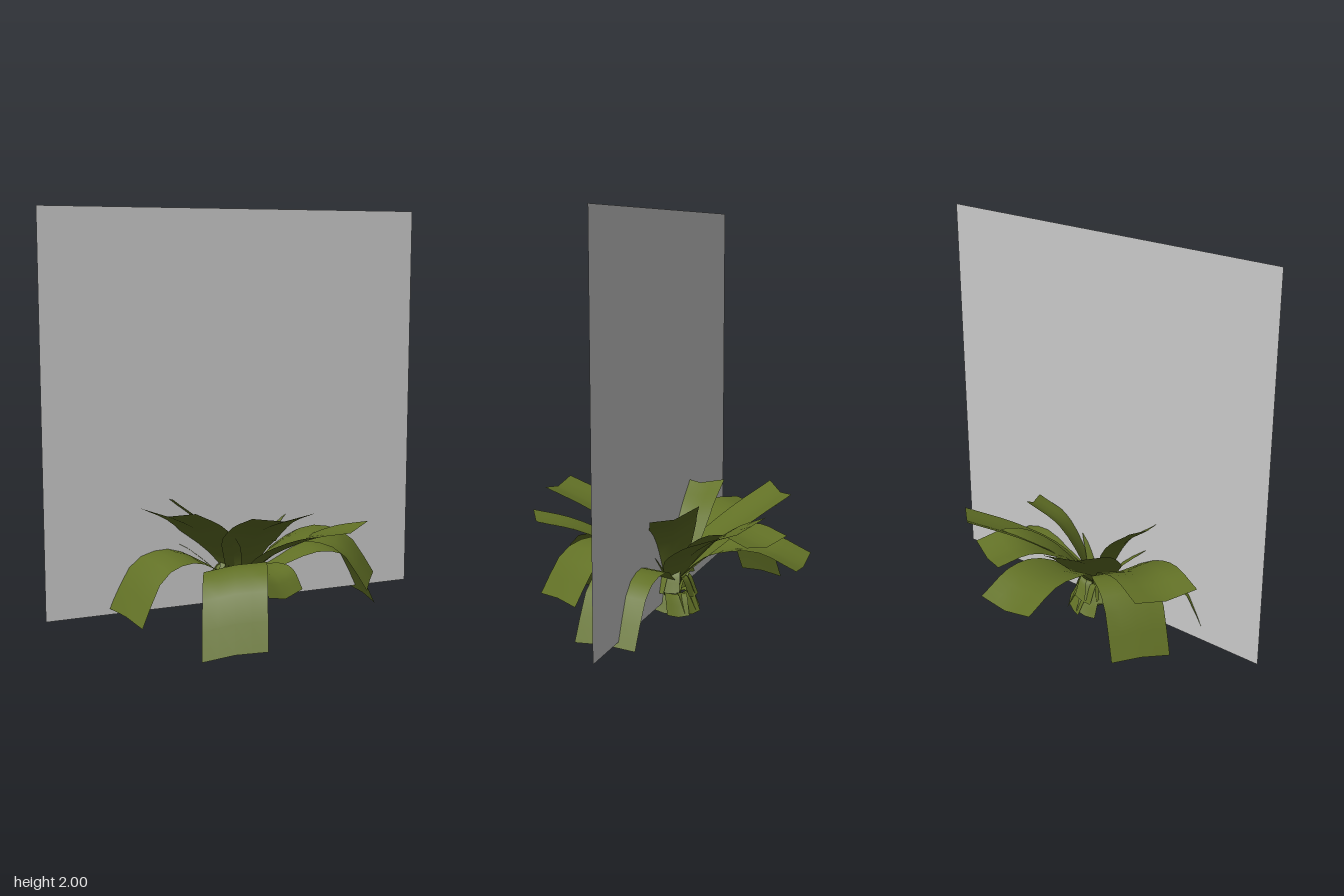
import * as THREE from 'three';

const green = new THREE.MeshStandardMaterial({ color: 0x627126, side: THREE.DoubleSide });
green.name = 'leaf green';
const grey = new THREE.MeshStandardMaterial({ color: 0xcacaca, side: THREE.DoubleSide });
grey.name = 'panel grey';

// A strap leaf: from the crown along an arched path to a tip edge between corners a and b.
// mids lists [fraction of reach, height]; fold sinks the midrib; root is the width at the crown.
function leaf(name, a, b, mids, { fold = 0.025, root = 0.3, base = 0.2 } = {}) {
  const A = new THREE.Vector3(...a), B = new THREE.Vector3(...b);
  const tip = A.clone().add(B).multiplyScalar(0.5);
  const half = B.clone().sub(A).multiplyScalar(0.5);
  const path = new THREE.CatmullRomCurve3([
    new THREE.Vector3(tip.x * 0.04, base, tip.z * 0.04),
    ...mids.map(([f, y]) => new THREE.Vector3(tip.x * f, y, tip.z * f)),
    tip,
  ]);
  const rows = 10, cols = 4, pos = [], index = [];
  for (let i = 0; i <= rows; i++) {
    const s = i / rows, p = path.getPoint(s);
    const w = Math.min(1, root + (1 - root) * s / 0.45);
    for (let j = 0; j <= cols; j++) {
      const u = (j / cols) * 2 - 1;
      pos.push(p.x + half.x * u * w, p.y + half.y * u * w - fold * w * (1 - Math.abs(u)), p.z + half.z * u * w);
      if (i < rows && j < cols) {
        const k = i * (cols + 1) + j, n = k + cols + 1;
        index.push(k, k + 1, n, k + 1, n + 1, n);
      }
    }
  }
  const g = new THREE.BufferGeometry();
  g.setAttribute('position', new THREE.Float32BufferAttribute(pos, 3));
  g.setIndex(index);
  g.computeVertexNormals();
  const mesh = new THREE.Mesh(g, green);
  mesh.name = name;
  return mesh;
}

export function createModel() {
  const model = new THREE.Group();

  // Upright square panel through the plant
  const panel = new THREE.Mesh(new THREE.PlaneGeometry(1.9, 1.9), grey);
  panel.name = 'panel';
  panel.position.set(0, 1.05, 0.015);
  model.add(panel);

  // Low outer leaves that arch over and hang down
  const droop = (peak) => [[0.3, peak - 0.06], [0.55, peak + 0.01], [0.8, peak - 0.03]];
  const drooping = [
    [[0.68, 0.07 + 0.0, -0.07], [0.655, 0.07, 0.23], droop(0.34)],
    [[0.645, 0.23, 0.23], [0.475, 0.22, 0.48], droop(0.44)],
    [[-0.11, 0.06, 0.665], [-0.375, 0.005, 0.54], droop(0.35)],
    [[-0.575, 0.11, 0.31], [-0.645, 0.13, 0.02], droop(0.37)],
    [[-0.6, 0.11, -0.2], [-0.45, 0.13, -0.45], droop(0.4)],
  ];
  for (const [a, b, mids] of drooping) model.add(leaf('droopingLeaf', a, b, mids, { fold: -0.01 }));

  // Middle leaves spreading nearly level
  const spreading = [
    [[-0.7, 0.48, -0.14], [-0.56, 0.48, -0.42], [[0.35, 0.4], [0.7, 0.5]]],
    [[-0.14, 0.36, -0.67], [0.17, 0.35, -0.67], [[0.35, 0.38], [0.7, 0.43]]],
    [[0.11, 0.5, -0.61], [0.38, 0.5, -0.49], [[0.35, 0.42], [0.7, 0.53]]],
    [[0.47, 0.56, 0.49], [0.205, 0.55, 0.645], [[0.35, 0.38], [0.7, 0.5]]],
  ];
  for (const [a, b, mids] of spreading) model.add(leaf('spreadingLeaf', a, b, mids));

  // Leaves that rise outward
  const rising = [
    [[0.14, 0.65, 0.61], [-0.165, 0.65, 0.61], [[0.25, 0.4], [0.55, 0.54]]],
    [[-0.36, 0.65, 0.43], [-0.54, 0.64, 0.19], [[0.25, 0.38], [0.6, 0.54]]],
    [[-0.39, 0.65, -0.4], [-0.14, 0.64, -0.57], [[0.25, 0.34], [0.6, 0.5]]],
    [[0.35, 0.64, -0.57], [0.58, 0.57, -0.37], [[0.25, 0.36], [0.6, 0.5]]],
  ];
  for (const [a, b, mids] of rising) model.add(leaf('risingLeaf', a, b, mids));

  // Short inner leaves
  const inner = [
    [[-0.35, 0.645, 0.085], [-0.33, 0.65, -0.175], [[0.5, 0.5]]],
    [[0.28, 0.65, -0.235], [0.38, 0.58, -0.03], [[0.5, 0.5]]],
    [[0.2, 0.44, 0.09], [0.1, 0.44, 0.22], [[0.5, 0.42]]],
    [[0.235, 0.2, 0.28], [0.025, 0.2, 0.36], [[0.4, 0.29], [0.8, 0.29]]],
    [[-0.07, 0.12, 0.2], [-0.2, 0.12, 0.12], [[0.4, 0.27], [0.8, 0.26]]],
  ];
  for (const [a, b, mids] of inner) model.add(leaf('innerLeaf', a, b, mids, { root: 0.6 }));

  // Dense tuft of tiny leaves at the crown
  for (let i = 0; i < 18; i++) {
    const t = i * 2.4, r = 0.1 + 0.012 * (i % 6), y = 0.06 + 0.035 * (i % 5), w = 0.055;
    const c = Math.cos(t), s = Math.sin(t);
    model.add(leaf('crownLeaf',
      [c * r + s * w, y, s * r - c * w], [c * r - s * w, y + 0.01, s * r + c * w],
      [[0.6, y + 0.1]], { fold: 0.01, root: 0.7, base: 0.06 + 0.02 * (i % 4) }));
  }
  return model;
}
